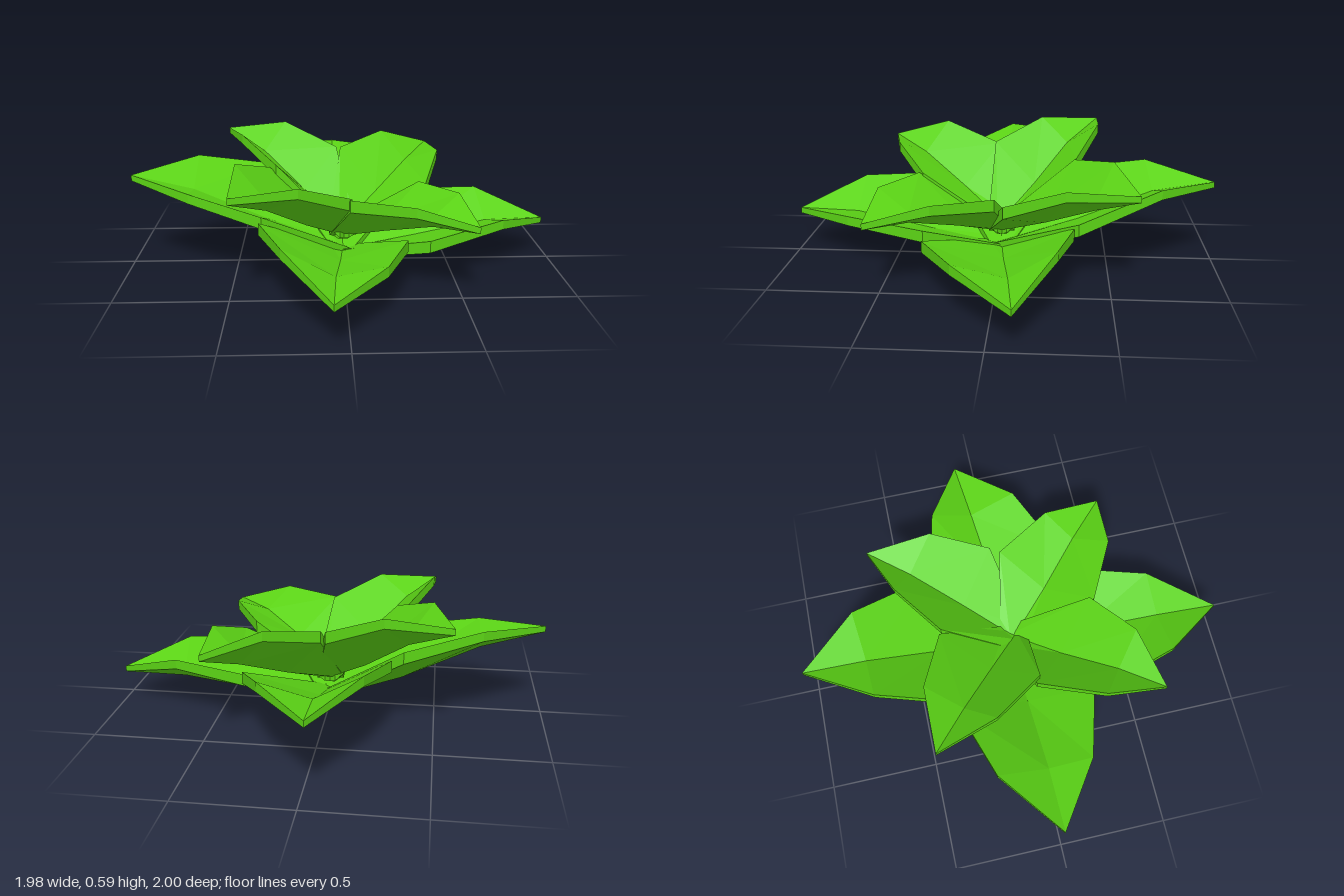
import * as THREE from 'three';

const material = new THREE.MeshStandardMaterial({ color: 0x5bd315, flatShading: true });

// Each leaf: base height, then [edge, rib, edge] at its wide and middle sections, then the tip.
const lowerLeaves = [
  { name: 'lowerFrontLeaf', base: 0.05,
    wide: [[-0.38, 0.30, 0.35], [-0.02, 0.12, 0.34], [0.28, 0.21, 0.34]],
    mid: [[-0.27, 0.31, 0.71], [-0.05, 0.19, 0.71], [0.16, 0.23, 0.71]], tip: [-0.065, 0.195, 1.0] },
  { name: 'lowerLeftLeaf', base: 0.05,
    wide: [[0.38, 0.20, 0.33], [0.34, 0.11, -0.03], [0.35, 0.26, -0.34]],
    mid: [[0.74, 0.24, 0.16], [0.70, 0.17, -0.07], [0.68, 0.285, -0.27]], tip: [0.99, 0.17, -0.10] },
  { name: 'lowerBackLeaf', base: 0.06,
    wide: [[0.35, 0.28, -0.36], [0, 0.19, -0.36], [-0.31, 0.36, -0.34]],
    mid: [[0.205, 0.40, -0.73], [-0.02, 0.33, -0.71], [-0.22, 0.43, -0.69]], tip: [-0.03, 0.375, -1.0] },
  { name: 'lowerRightLeaf', base: 0.06,
    wide: [[-0.36, 0.40, -0.34], [-0.34, 0.20, -0.01], [-0.37, 0.31, 0.30]],
    mid: [[-0.70, 0.47, -0.23], [-0.70, 0.36, 0], [-0.70, 0.39, 0.20]], tip: [-0.99, 0.43, 0] },
];
const upperLeaves = [
  { name: 'upperFrontLeftLeaf', base: 0.16,
    wide: [[0.02, 0.41, 0.39], [0.18, 0.26, 0.19], [0.36, 0.39, 0.01]],
    mid: [[0.29, 0.415, 0.53], [0.38, 0.33, 0.38], [0.51, 0.405, 0.27]], tip: [0.555, 0.335, 0.55] },
  { name: 'upperBackLeftLeaf', base: 0.16,
    wide: [[0.40, 0.37, -0.03], [0.17, 0.28, -0.21], [0, 0.48, -0.34]],
    mid: [[0.49, 0.47, -0.30], [0.34, 0.39, -0.43], [0.22, 0.53, -0.51]], tip: [0.465, 0.45, -0.61] },
  { name: 'upperBackRightLeaf', base: 0.16,
    wide: [[-0.02, 0.48, -0.35], [-0.18, 0.31, -0.15], [-0.31, 0.485, 0.05]],
    mid: [[-0.28, 0.59, -0.46], [-0.38, 0.47, -0.31], [-0.48, 0.58, -0.18]], tip: [-0.57, 0.56, -0.465] },
  { name: 'upperFrontRightLeaf', base: 0.16,
    wide: [[-0.34, 0.47, 0.03], [-0.17, 0.29, 0.19], [0.03, 0.41, 0.37]],
    mid: [[-0.475, 0.555, 0.31], [-0.34, 0.42, 0.41], [-0.20, 0.50, 0.52]], tip: [-0.485, 0.48, 0.585] },
];

// Folded leaf with a thick rim, lofted through four V-shaped sections
function makeLeaf({ name, base, wide, mid, tip }) {
  const length = Math.hypot(tip[0], tip[2]);
  const dx = tip[0] / length, dz = tip[2] / length;
  const baseSection = [-1, 0, 1].map(s => [
    -0.03 * dx + 0.06 * s * dz, base + 0.02 * Math.abs(s), -0.03 * dz - 0.06 * s * dx]);
  const sections = [baseSection, wide, mid, [tip, tip, tip]];
  const thickness = [0.05, 0.055, 0.045, 0.028];

  // Closed loop per section: top edge, rib, edge, then the underside back again
  const loops = sections.map((section, i) => {
    const under = section.map(([x, y, z]) => [x, y - thickness[i], z]);
    return [...section, ...under.reverse()];
  });
  const positions = [];
  const quad = (a, b, c, d) => positions.push(...a, ...b, ...c, ...a, ...c, ...d);
  for (let i = 0; i < 3; i++) {
    for (let j = 0; j < 6; j++) {
      const k = (j + 1) % 6;
      quad(loops[i][j], loops[i + 1][j], loops[i + 1][k], loops[i][k]);
    }
  }
  // Cap at the stem end
  const b = loops[0];
  quad(b[0], b[1], b[4], b[5]);
  quad(b[1], b[2], b[3], b[4]);

  const geometry = new THREE.BufferGeometry();
  geometry.setAttribute('position', new THREE.Float32BufferAttribute(positions, 3));
  geometry.computeVertexNormals();
  const leaf = new THREE.Mesh(geometry, material);
  leaf.name = name;
  return leaf;
}

export function createModel() {
  const model = new THREE.Group();
  model.name = 'leafRosette';
  for (const [name, leaves] of [['lowerLeaves', lowerLeaves], ['upperLeaves', upperLeaves]]) {
    const tier = new THREE.Group();
    tier.name = name;
    leaves.forEach(leaf => tier.add(makeLeaf(leaf)));
    model.add(tier);
  }
  return model;
}
